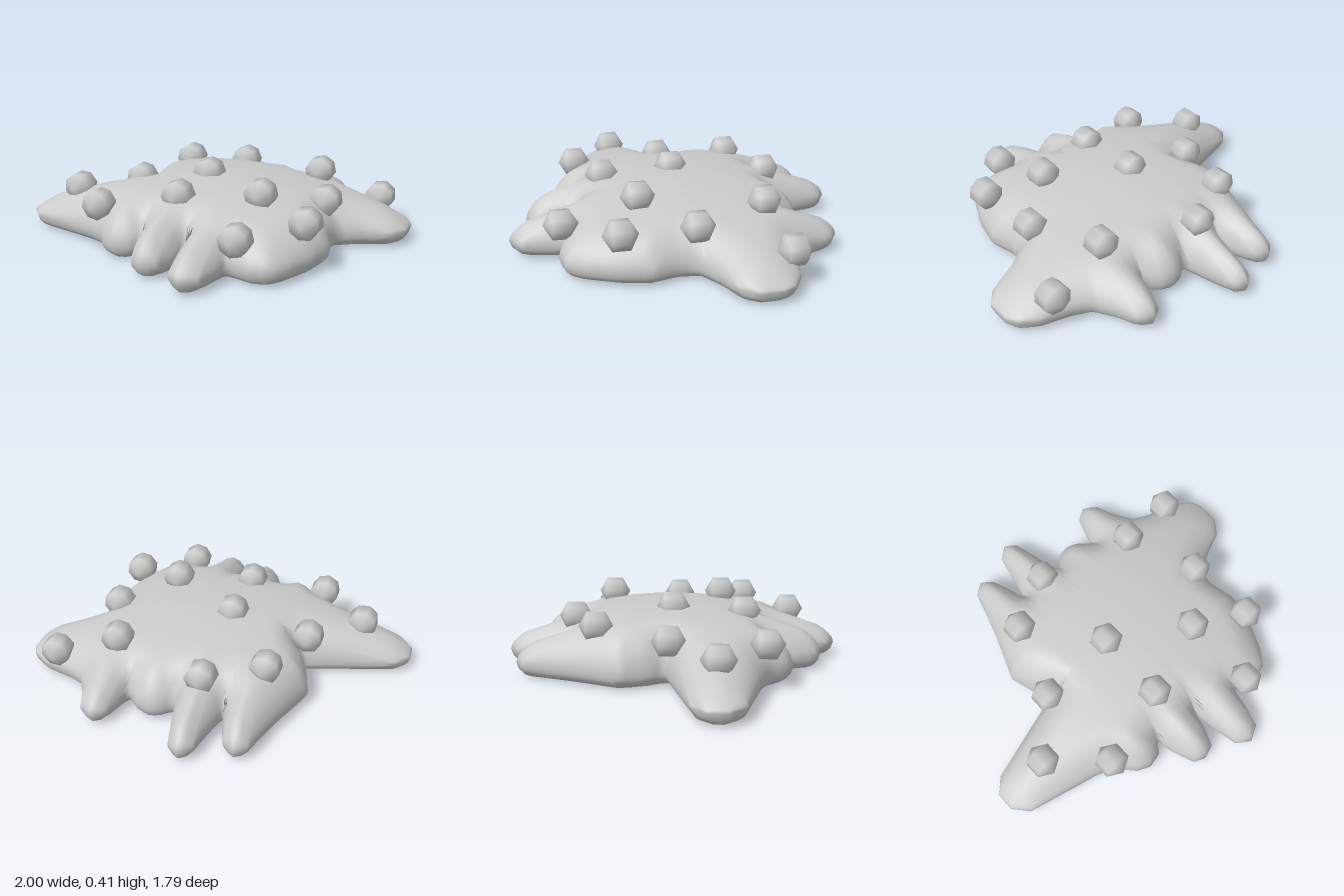
import * as THREE from 'three';

// Body outline seen from above, [x, z]
const OUTLINE = [
  [-1, .2], [-.93, .13], [-.7, .06], [-.44, -.02], [-.49, -.1], [-.535, -.25], [-.44, -.5],
  [-.39, -.66], [-.36, -.77], [-.3, -.81], [-.24, -.77], [-.2, -.66], [-.175, -.56],
  [-.14, -.7], [-.11, -.85], [-.05, -.9], [.01, -.86], [.04, -.74], [.08, -.57],
  [.15, -.63], [.21, -.64], [.27, -.62], [.34, -.55],
  [.37, -.66], [.4, -.74], [.46, -.775], [.53, -.73], [.57, -.62], [.63, -.52], [.72, -.48],
  [.88, -.44], [.97, -.38], [1, -.32], [1, -.2], [.94, -.12], [.8, -.06], [.69, .01],
  [.68, .1], [.715, .24], [.68, .4], [.61, .56], [.55, .64], [.45, .66], [.33, .63],
  [.31, .74], [.28, .85], [.2, .895], [.13, .85], [.1, .72], [.08, .57],
  [.06, .67], [.02, .77], [-.05, .795], [-.11, .77], [-.155, .66], [-.175, .55],
  [-.22, .61], [-.3, .63], [-.37, .6], [-.45, .51], [-.55, .47], [-.93, .38], [-1, .3]
];

// Studs, [x, y, z]
const STUDS = [
  [-.05, .33, 0], [-.05, .31, .38], [.35, .33, .25], [.46, .3, -.38], [-.34, .29, -.38],
  [-.05, .27, -.53], [-.47, .25, 0], [-.72, .235, .25], [-.455, .24, .49], [.38, .225, .64],
  [.635, .26, .38], [.615, .26, 0], [.795, .18, -.43]
];

// Shortest distance from a point to the outline
function edgeDistance(x, z) {
  let best = Infinity;
  OUTLINE.forEach(([ax, az], i) => {
    const [bx, bz] = OUTLINE[(i + 1) % OUTLINE.length];
    const dx = bx - ax, dz = bz - az;
    const t = THREE.MathUtils.clamp(((x - ax) * dx + (z - az) * dz) / (dx * dx + dz * dz), 0, 1);
    best = Math.min(best, Math.hypot(x - ax - t * dx, z - az - t * dz));
  });
  return best;
}

const RIM = 0.075;
const rounded = (d, width) => Math.sqrt(1 - (1 - Math.min(d / width, 1)) ** 2);

// Domed top, rounded off near the rim; flat underside with a small bevel
function surfaceY(x, z, top) {
  const d = edgeDistance(x, z);
  if (!top) return RIM * (1 - rounded(d, 0.08));
  const dome = 0.33 - 0.19 * (x * x + z * z);
  return RIM + (dome - RIM) * rounded(d, 0.18);
}

// Rings running from a central spine out to the rim, over the top and back underneath
function bodyGeometry() {
  const edge = [];
  OUTLINE.forEach(([ax, az], i) => {
    const [bx, bz] = OUTLINE[(i + 1) % OUTLINE.length];
    const n = Math.max(2, Math.round(Math.hypot(bx - ax, bz - az) / 0.04));
    for (let k = 0; k < n; k++) edge.push([ax + (bx - ax) * k / n, az + (bz - az) * k / n]);
  });
  const steps = [0, .15, .3, .42, .53, .62, .69, .75, .8, .85, .89, .93, .96, .98, .993, 1];
  const rings = steps.map(t => [t, true])
    .concat([.985, .96, .92, .87, .8, .65, .4, 0].map(t => [t, false]));
  const positions = [], indices = [], n = edge.length;
  for (const [t, top] of rings) {
    for (const [ex, ez] of edge) {
      const spine = 0.8 * THREE.MathUtils.clamp(ex, -.42, .55);
      const x = spine + (ex - spine) * t, z = ez * t;
      positions.push(x, surfaceY(x, z, top), z);
    }
  }
  for (let r = 0; r < rings.length - 1; r++) {
    for (let i = 0; i < n; i++) {
      const a = r * n + i, b = r * n + (i + 1) % n;
      indices.push(a, b, a + n, b, b + n, a + n);
    }
  }
  const geometry = new THREE.BufferGeometry();
  geometry.setAttribute('position', new THREE.Float32BufferAttribute(positions, 3));
  geometry.setIndex(indices);
  // The outline runs clockwise from above, so flip the corners if the top faces down
  geometry.computeVertexNormals();
  if (geometry.attributes.normal.getY(5 * n) < 0) {
    geometry.setIndex(indices.map((v, i) => i % 3 === 0 ? v : indices[i % 3 === 1 ? i + 1 : i - 1]));
    geometry.computeVertexNormals();
  }
  return geometry;
}

export function createModel() {
  const model = new THREE.Group();
  const material = new THREE.MeshStandardMaterial({ color: 0xcccccc, side: THREE.DoubleSide });

  const body = new THREE.Mesh(bodyGeometry(), material);
  body.name = 'body';
  model.add(body);

  // Coarse round studs with their poles along z
  const studs = new THREE.Group();
  studs.name = 'studs';
  const studGeometry = new THREE.SphereGeometry(0.09, 8, 3).rotateX(Math.PI / 2);
  for (const [x, y, z] of STUDS) {
    const stud = new THREE.Mesh(studGeometry, material);
    stud.name = 'stud';
    stud.position.set(x, y, z);
    stud.rotation.z = -0.4 * x;
    studs.add(stud);
  }
  model.add(studs);
  return model;
}
